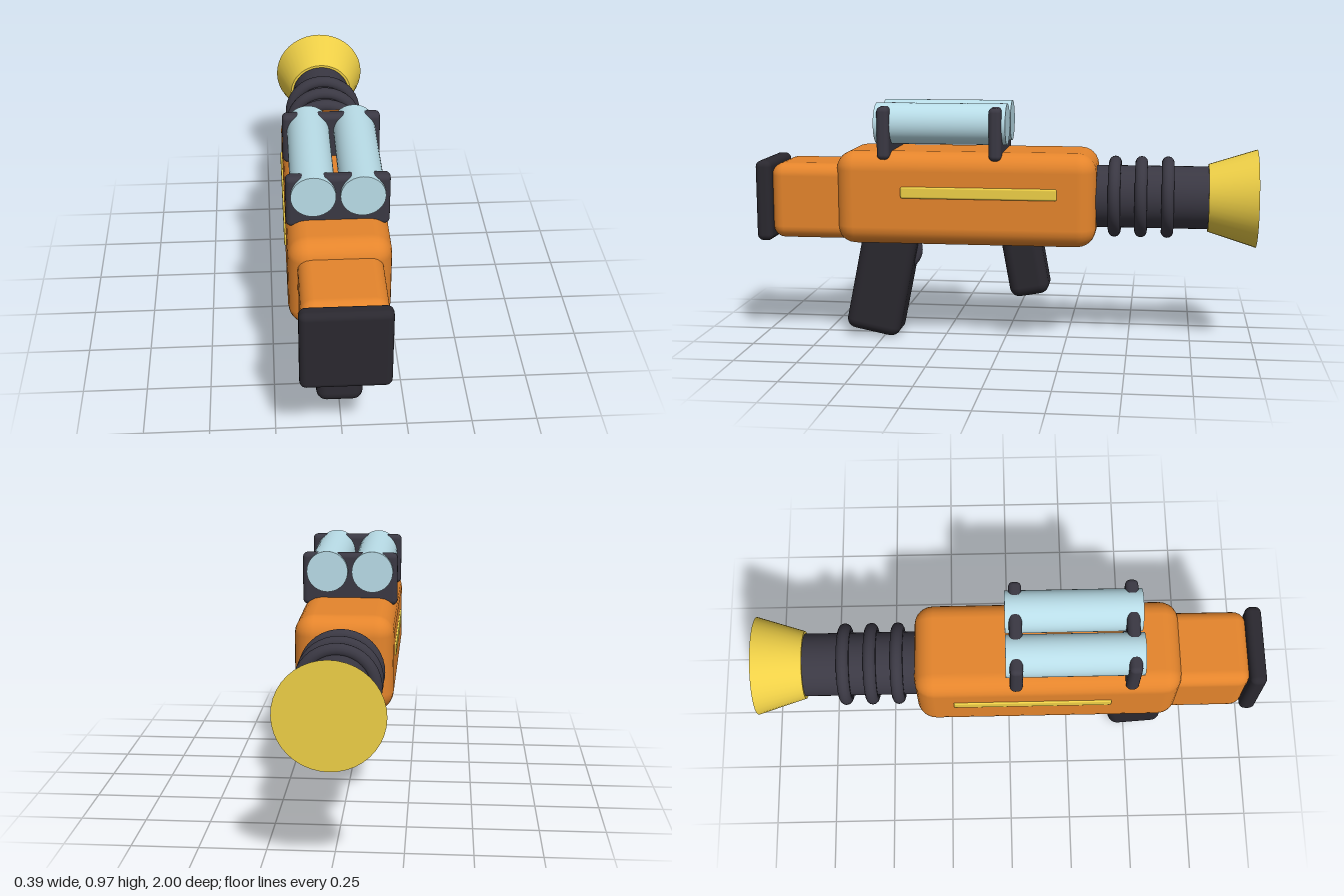
import * as THREE from 'three';
import { RoundedBoxGeometry } from 'three/addons/geometries/RoundedBoxGeometry.js';

const mat = (color) => new THREE.MeshStandardMaterial({ color });
const orange = mat(0xe5852c);
const charcoal = mat(0x3a3843);
const black = mat(0x2a282f);
const gold = mat(0xefd047);
const paleBlue = mat(0xb9dde8);

const AXIS_Y = 0.595; // height of the barrel axis

export function createModel() {
  const model = new THREE.Group();
  model.name = 'toyLauncher';

  const add = (name, geometry, material, x, y, z, tilt = 0) => {
    const mesh = new THREE.Mesh(geometry, material);
    mesh.name = name;
    mesh.position.set(x, y, z);
    mesh.rotation.x = tilt;
    model.add(mesh);
    return mesh;
  };
  const box = (w, h, d, r, segments = 3) => new RoundedBoxGeometry(w, h, d, segments, r);
  // Cylinder along z: first radius at the +z end
  const tube = (rFront, rBack, length) =>
    new THREE.CylinderGeometry(rFront, rBack, length, 40).rotateX(Math.PI / 2);

  // Body, stock and butt plate
  add('body', box(0.38, 0.375, 1.04, 0.075), orange, 0, 0.593, 0.15);
  add('stock', box(0.31, 0.305, 0.34, 0.05), orange, 0, 0.573, 0.77);
  add('buttPlate', box(0.326, 0.326, 0.065, 0.025), black, 0, 0.573, 0.9675);

  // Barrel with rings and flared muzzle
  add('barrel', tube(0.125, 0.125, 0.54), charcoal, 0, AXIS_Y, -0.56);
  for (const z of [-0.44, -0.545, -0.65]) {
    add('barrelRing', new THREE.TorusGeometry(0.138, 0.025, 14, 40), charcoal, 0, AXIS_Y, z);
  }
  add('muzzle', tube(0.135, 0.195, 0.19), gold, 0, AXIS_Y, -0.905);

  // Twin canisters and side strips
  for (const side of [-1, 1]) {
    add('canister', tube(0.082, 0.082, 0.525), paleBlue, side * 0.09, 0.888, 0.2475);
    add('sideStrip', box(0.025, 0.047, 0.62, 0.008, 2), gold, side * 0.184, 0.623, 0.09);
  }

  // Canister mounts
  for (const z of [0.025, 0.47]) {
    add('canisterMount', box(0.38, 0.21, 0.05, 0.02), charcoal, 0, 0.855, z);
  }

  // Grips and trigger
  add('rearGrip', box(0.18, 0.46, 0.225, 0.04), black, 0, 0.245, 0.506, -0.2);
  add('foreGrip', box(0.16, 0.28, 0.16, 0.04), black, 0, 0.328, -0.081, 0.18);
  const trigger = add('trigger', new THREE.TorusGeometry(0.072, 0.018, 12, 32), charcoal, 0, 0.36, 0.437);
  trigger.rotation.y = Math.PI / 2;

  return model;
}
